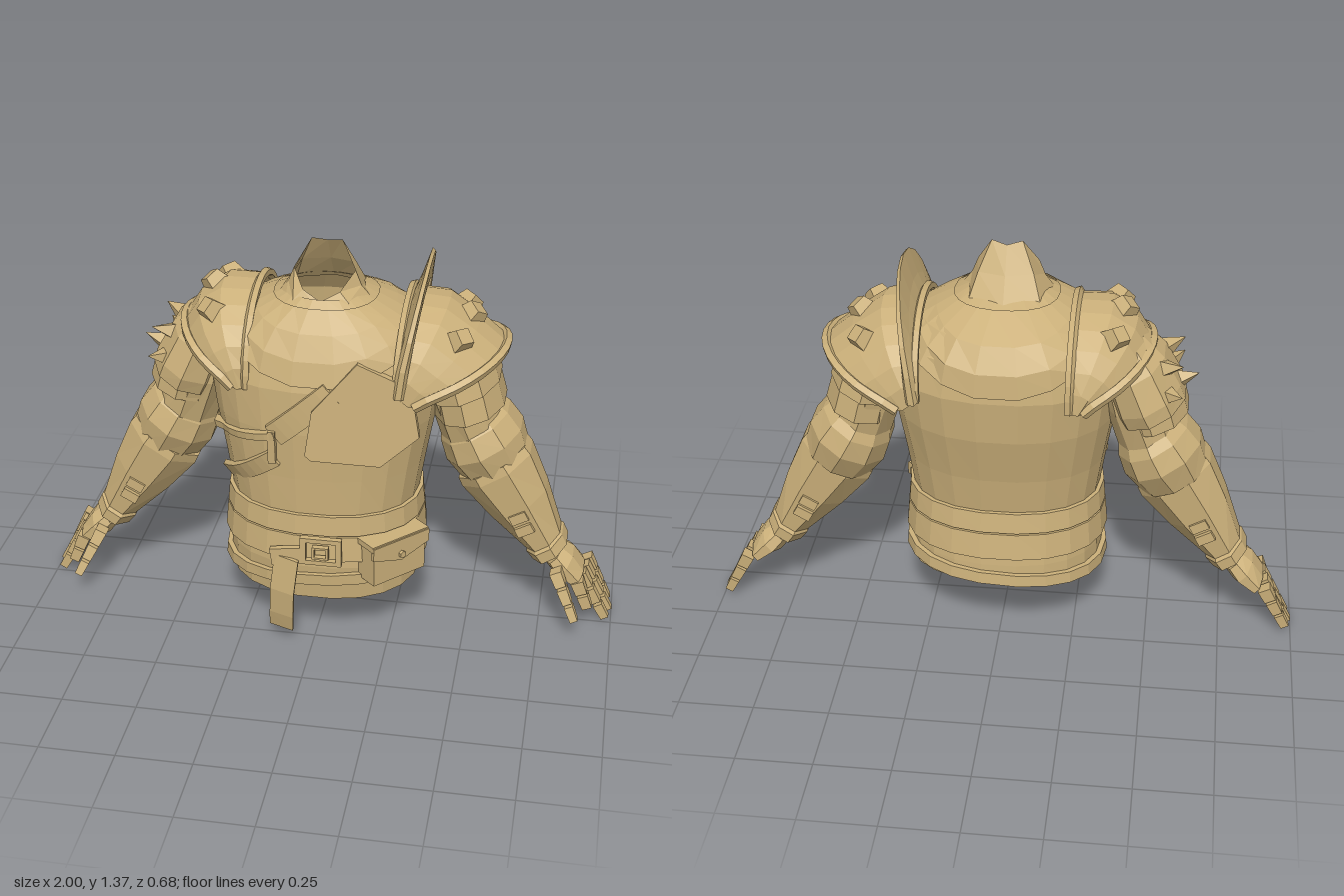
import * as THREE from 'three';

const tan = new THREE.MeshStandardMaterial({ color: 0xcbb07a, side: THREE.DoubleSide });
tan.name = 'tan';
const V = (x, y, z) => new THREE.Vector3(x, y, z);

function add(parent, name, geo) {
  const flat = geo.index ? geo.toNonIndexed() : geo;
  flat.computeVertexNormals();
  const mesh = new THREE.Mesh(flat, tan);
  mesh.name = name;
  parent.add(mesh);
  return mesh;
}

// Skin a surface over rows of points
function loft(rows, wrap = true) {
  const pos = [];
  const tri = (a, b, c) => {
    if (b.clone().sub(a).cross(c.clone().sub(a)).length() > 1e-8) for (const p of [a, b, c]) pos.push(p.x, p.y, p.z);
  };
  for (let i = 0; i < rows.length - 1; i++) {
    const n = rows[i].length;
    for (let j = 0; j < (wrap ? n : n - 1); j++) {
      const k = (j + 1) % n;
      tri(rows[i][j], rows[i + 1][j], rows[i + 1][k]);
      tri(rows[i][j], rows[i + 1][k], rows[i][k]);
    }
  }
  const g = new THREE.BufferGeometry();
  g.setAttribute('position', new THREE.Float32BufferAttribute(pos, 3));
  return g;
}

// Close both ends of a tube of rows
function capped(rows) {
  const centre = r => {
    const c = r.reduce((s, p) => s.add(p), V(0, 0, 0)).divideScalar(r.length);
    return r.map(() => c);
  };
  return [centre(rows[0]), ...rows, centre(rows[rows.length - 1])];
}

// Torso profile: height, half width, front z, back z
const body = [
  [0.19, 0.33, 0.26, -0.28], [0.3, 0.33, 0.275, -0.275], [0.5, 0.32, 0.265, -0.25],
  [0.63, 0.34, 0.27, -0.27], [0.8, 0.37, 0.28, -0.31], [0.95, 0.39, 0.275, -0.325],
  [1.07, 0.35, 0.245, -0.31], [1.14, 0.28, 0.205, -0.26], [1.19, 0.18, 0.17, -0.17], [1.22, 0.125, 0.14, -0.09],
];
function bodyAt(y) {
  let i = 0;
  while (i < body.length - 2 && y > body[i + 1][0]) i++;
  const f = THREE.MathUtils.clamp((y - body[i][0]) / (body[i + 1][0] - body[i][0]), 0, 1);
  return body[i].map((v, k) => v + (body[i + 1][k] - v) * f);
}
const sgnPow = v => Math.sign(v) * Math.abs(v) ** 0.88;
function ring(yOf, off = 0, n = 22) {
  return Array.from({ length: n }, (_, j) => {
    const a = (j / n) * Math.PI * 2, s = sgnPow(Math.sin(a)), c = sgnPow(Math.cos(a));
    const y = typeof yOf === 'number' ? yOf : yOf(a);
    const [, rx, zf, zb] = bodyAt(y);
    return V(c * (rx + off), y, s > 0 ? s * (zf + off) : -s * (zb - off));
  });
}
const frontZ = (x, y) => {
  const [, rx, zf] = bodyAt(y);
  return zf * Math.sqrt(1 - Math.min(Math.abs(x / rx), 0.95) ** 2.3);
};
function band(parent, name, lo, hi, off) {
  add(parent, name, loft([ring(lo), ring(lo, off), ring(hi, off * 0.85), ring(hi)]));
}

// Flat strip along points; width across the path, skew turns one edge forward
function ribbon(parent, name, pts, width, thick, skew = 0) {
  const rows = pts.map((p, i) => {
    const d = pts[Math.min(i + 1, pts.length - 1)].clone().sub(pts[Math.max(i - 1, 0)]).setZ(0).normalize();
    const n = V(-d.y, d.x, 0).multiplyScalar(width / 2).setZ(skew), t = V(0, 0, thick);
    return [p.clone().sub(n), p.clone().sub(n).add(t), p.clone().add(n).add(t), p.clone().add(n)];
  });
  return add(parent, name, loft(capped(rows)));
}
function chestStrap(parent, name, [x0, y0], [x1, y1], width, thick) {
  const pts = Array.from({ length: 8 }, (_, i) => {
    const x = x0 + (x1 - x0) * i / 7, y = y0 + (y1 - y0) * i / 7;
    return V(x, y, frontZ(x, y) - 0.015);
  });
  ribbon(parent, name, pts, width, thick + 0.015);
}

// Closed limb piece; stations are [t, half width, half depth]
function limb(parent, name, a, b, stations, sides = 8) {
  const d = b.clone().sub(a), u = d.clone().setZ(0).normalize(), k = 1 / Math.cos(Math.PI / sides);
  const rows = stations.map(([t, r, rz]) => Array.from({ length: sides }, (_, j) => {
    const an = ((j + 0.5) / sides) * Math.PI * 2, c = Math.cos(an) * r * k;
    return a.clone().addScaledVector(d, t).add(V(u.y * c, -u.x * c, Math.sin(an) * rz * k));
  }));
  return add(parent, name, loft(capped(rows)));
}

// Shoulder arch running front to back
function arch(xTop, xEnd, top, yc, hz) {
  return Array.from({ length: 13 }, (_, i) => {
    const a = (1 - i / 6) * 1.66, c = Math.cos(a);
    return V(xEnd + (xTop - xEnd) * Math.max(c, 0), yc + (top - yc) * c, -0.045 + hz * Math.sin(a));
  });
}
const trim = (parent, name, row, r) =>
  add(parent, name, new THREE.TubeGeometry(new THREE.CatmullRomCurve3(row), 18, r, 5));
function studAt(parent, name, p, dir, r0, r1, h) {
  const s = add(parent, name, new THREE.CylinderGeometry(r1, r0, h, 4));
  s.position.copy(p);
  s.quaternion.setFromUnitVectors(V(0, 1, 0), dir.normalize());
}

function buildArm(side) {
  const arm = new THREE.Group();
  arm.name = side + 'Arm';
  const wr = V(0.775, 0.27, -0.05);
  limb(arm, 'upperArm', V(0.37, 1.06, -0.05), V(0.5, 0.7, -0.06), [[0, 0.08, 0.13], [0.5, 0.105, 0.16], [1, 0.11, 0.14]], 10);
  limb(arm, 'elbowGuard', V(0.475, 0.765, -0.07), V(0.575, 0.58, -0.06),
    [[0, 0.105, 0.13], [0.2, 0.125, 0.155], [0.55, 0.138, 0.165], [1, 0.12, 0.13]], 10);
  limb(arm, 'forearmGuard', V(0.56, 0.605, -0.05), wr,
    [[0, 0.128, 0.125], [0.08, 0.132, 0.13], [0.45, 0.108, 0.115], [0.88, 0.066, 0.095], [0.9, 0.07, 0.108], [1, 0.066, 0.105]]);
  // Small forearm buckles, front and back
  for (const z of [0.055, -0.155]) for (const t of [0, 1]) {
    const b = add(arm, 'forearmBuckle', new THREE.BoxGeometry(0.06, 0.035, 0.035));
    b.position.set(0.665 + t * 0.022, 0.435 - t * 0.045, z);
    b.rotation.z = 0.5;
  }
  // Hand with jointed fingers
  limb(arm, 'palm', V(0.79, 0.25, -0.05), V(0.875, 0.175, -0.055), [[0, 0.04, 0.07], [0.4, 0.046, 0.095], [1, 0.03, 0.095]]);
  const digit = (name, a, b, r, n) => {
    for (let i = 0; i < n; i++)
      limb(arm, name, a.clone().lerp(b, i / n), a.clone().lerp(b, (i + 0.84) / n),
        [[0, r * (1 - i * 0.13), r * (1 - i * 0.13)], [1, r * (0.9 - i * 0.13), r * (0.9 - i * 0.13)]], 4);
  };
  [[0.92, 0.075], [0.985, 0.005], [0.995, 0.005], [0.985, 0.02]].forEach(([x, y], i) => {
    const z = 0.025 - i * 0.054;
    digit('finger', V(0.875 + i * 0.008, 0.185, z), V(x, y, z + 0.005), 0.022, i ? 3 : 2);
  });
  digit('thumb', V(0.8, 0.235, 0.055), V(0.88, 0.075, 0.125), 0.021, 3);

  // Shoulder armour differs between the sides
  const left = side === 'left';
  const rows = left
    ? [arch(0.27, 0.26, 1.19, 0.96, 0.27), arch(0.4, 0.28, 1.18, 0.95, 0.285), arch(0.5, 0.3, 1.11, 0.93, 0.285), arch(0.59, 0.32, 1.035, 0.92, 0.28)]
    : [arch(0.23, 0.23, 1.2, 0.95, 0.27), arch(0.35, 0.25, 1.2, 0.95, 0.28), arch(0.43, 0.26, 1.15, 0.945, 0.28), arch(0.48, 0.275, 1.07, 0.94, 0.27)];
  add(arm, 'pauldron', loft(rows, false));
  trim(arm, 'pauldronRim', rows[3], 0.018);
  trim(arm, 'pauldronInnerRim', rows[0], 0.016);
  for (const j of [4, 6, 8]) {
    const p = rows[1][j].clone().lerp(rows[2][j], left ? 0.75 : 0.45);
    studAt(arm, 'stud', p, V(0.6, 0.75, (p.z + 0.045) * 3), 0.056, 0.036, 0.06);
  }
  if (left) {
    const root = arch(0.27, 0.25, 1.17, 0.95, 0.265);
    add(arm, 'neckGuard', loft([root, arch(0.3, 0.25, 1.24, 0.97, 0.28), arch(0.33, 0.26, 1.33, 0.97, 0.295),
      arch(0.34, 0.28, 1.32, 0.97, 0.295), arch(0.325, 0.29, 1.22, 0.96, 0.28)], false));
    limb(arm, 'upperArmBand', V(0.415, 1.01, -0.05), V(0.455, 0.88, -0.05), [[0, 0.11, 0.16], [0.5, 0.125, 0.18], [1, 0.125, 0.185]], 10);
    limb(arm, 'lowerArmBand', V(0.455, 0.9, -0.05), V(0.48, 0.8, -0.05), [[0, 0.115, 0.17], [1, 0.118, 0.175]], 10);
  } else {
    const a = V(0.385, 1.08, -0.06), b = V(0.485, 0.85, -0.06);
    limb(arm, 'spikedArmPlate', a, b, [[0, 0.07, 0.13], [0.35, 0.11, 0.175], [0.8, 0.122, 0.19], [1, 0.12, 0.18]], 10);
    limb(arm, 'lowerArmBand', V(0.47, 0.9, -0.055), V(0.495, 0.81, -0.055), [[0, 0.115, 0.17], [1, 0.115, 0.165]], 10);
    // Spikes stand out from the plate around its outer face
    for (const [t, an] of [[0.75, 0.75], [0.8, 0], [0.75, -0.75], [0.45, 0.45], [0.45, -0.45]]) {
      const out = V(0.93 * Math.cos(an), 0.37 * Math.cos(an), Math.sin(an));
      const p = a.clone().lerp(b, t).add(out.clone().multiply(V(0.14, 0.14, 0.2)));
      studAt(arm, 'spike', p, out, 0.04, 0.001, 0.085);
    }
    arm.scale.x = -1;
  }
  return arm;
}

export function createModel() {
  const model = new THREE.Group();
  model.name = 'armour';

  // Torso shell with an open, recessed underside
  const rows = body.map(b => ring(b[0]));
  rows[0] = rows[0].map(p => V(p.x, 0.2 - p.z * 0.12, p.z));
  const hole = rows[0].map(p => V(p.x * 0.33, 0.25, 0.06 + p.z * 0.27));
  add(model, 'torso', loft([hole, ...rows]));

  // Upper mantle and collar
  const edge = a => 1.1 - 0.13 * Math.abs(Math.sin(a)) ** 3;
  const mantle = [0, 0.35, 0.7, 1].map(t => ring(a => edge(a) + (1.2 - edge(a)) * t, 0.01));
  add(model, 'mantle', loft([ring(edge), ...mantle]));
  const mirror = half => [...half, ...half.slice(1, -1).reverse().map(([x, y, z]) => [-x, y, z])].map(p => V(...p));
  const flip = r => [r[0], ...r.slice(1).reverse()];
  const collar = [
    [[0, 1.14, 0.18], [0.12, 1.17, 0.14], [0.16, 1.19, 0.04], [0.12, 1.19, -0.1], [0, 1.19, -0.14]],
    [[0, 1.18, 0.15], [0.09, 1.21, 0.125], [0.12, 1.24, 0.045], [0.09, 1.28, -0.045], [0, 1.28, -0.07]],
    [[0, 1.21, 0.13], [0.06, 1.24, 0.11], [0.1, 1.29, 0.045], [0.05, 1.375, 0.0], [0, 1.365, -0.015]],
  ];
  add(model, 'collar', loft(collar.map(half => flip(mirror(half)))));

  // Waist bands
  band(model, 'upperBelt', 0.43, 0.5, 0.016);
  band(model, 'belt', 0.335, 0.425, 0.02);
  band(model, 'lowerBelt', a => 0.235 + 0.02 * Math.cos(a), a => 0.275 + 0.02 * Math.cos(a), 0.02);

  // Buckle, hanging strap and pouch
  for (const [w, h, z] of [[0.14, 0.1, 0.288], [0.055, 0.045, 0.298]]) {
    const s = new THREE.Shape([[-w, -h], [w, -h], [w, h], [-w, h]].map(p => new THREE.Vector2(p[0] / 2, p[1] / 2)));
    s.holes.push(new THREE.Path([[-w, -h], [-w, h], [w, h], [w, -h]].map(p => new THREE.Vector2(p[0] * 0.36, p[1] * 0.34))));
    add(model, 'buckle', new THREE.ExtrudeGeometry(s, { depth: 0.02, bevelEnabled: false })).position.set(0.03, 0.38, z);
  }
  ribbon(model, 'strapLoop', [V(-0.14, 0.345, 0.285), V(-0.03, 0.36, 0.285)], 0.06, 0.02);
  ribbon(model, 'hangingStrap', [V(-0.085, 0.35, 0.3), V(-0.1, 0.22, 0.308), V(-0.105, 0.12, 0.295), V(-0.11, 0.055, 0.275)], 0.085, 0.014, 0.012);
  const pouch = new THREE.Group();
  pouch.name = 'pouch';
  pouch.position.set(0.25, 0.345, 0.2);
  pouch.rotation.y = 0.8;
  add(pouch, 'pouchBody', new THREE.BoxGeometry(0.215, 0.14, 0.1)).position.y = -0.005;
  add(pouch, 'pouchLid', new THREE.BoxGeometry(0.235, 0.02, 0.11)).position.y = 0.07;
  const flap = new THREE.Shape([[-0.117, 0.075], [-0.117, 0.03], [0, -0.005], [0.117, 0.03], [0.117, 0.075]].map(p => new THREE.Vector2(...p)));
  add(pouch, 'pouchFlap', new THREE.ExtrudeGeometry(flap, { depth: 0.014, bevelEnabled: false })).position.z = 0.046;
  add(pouch, 'pouchButton', new THREE.CylinderGeometry(0.013, 0.013, 0.012, 6).rotateX(Math.PI / 2)).position.set(0, 0.02, 0.064);
  model.add(pouch);

  // Chest straps and the angled heart plate
  chestStrap(model, 'chestStrap', [-0.32, 0.55], [-0.13, 0.705], 0.06, 0.018);
  chestStrap(model, 'chestStrapTop', [-0.36, 0.735], [-0.125, 0.795], 0.025, 0.028);
  chestStrap(model, 'chestStrapEnd', [-0.135, 0.81], [-0.135, 0.69], 0.025, 0.026);
  chestStrap(model, 'shoulderStrap', [-0.13, 0.79], [0.06, 0.96], 0.08, 0.012);
  const heart = new THREE.Shape([[-0.02, 0.75], [0, 0.73], [0.22, 0.7], [0.34, 0.8], [0.31, 0.97], [0.14, 1.06], [0, 0.9]].map(p => new THREE.Vector2(...p)));
  const plate = new THREE.ExtrudeGeometry(heart, { depth: 0.025, bevelEnabled: false });
  const pp = plate.attributes.position;
  for (let i = 0; i < pp.count; i++) pp.setZ(i, pp.getZ(i) + 0.29 - 0.24 * pp.getX(i) - 0.07 * (pp.getY(i) - 0.75));
  add(model, 'heartPlate', plate);

  model.add(buildArm('left'), buildArm('right'));
  return model;
}
